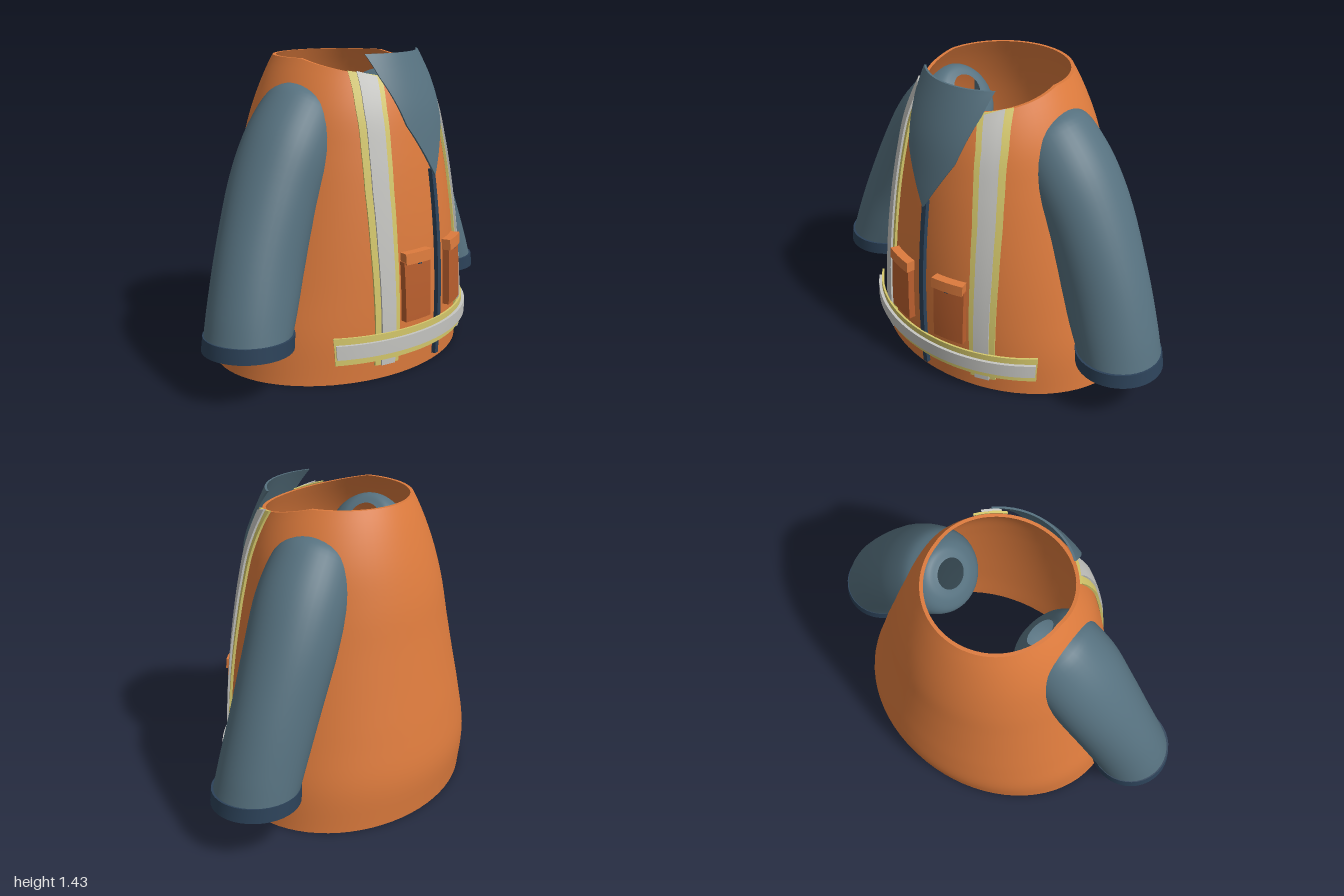
import * as THREE from 'three';
import { mergeGeometries } from 'three/addons/utils/BufferGeometryUtils.js';

const V = (x, y, z) => new THREE.Vector3(x, y, z);
const lerp = THREE.MathUtils.lerp;
const mat = (name, color) =>
  new THREE.MeshStandardMaterial({ name, color, side: THREE.DoubleSide });

// Torso cross-sections every 0.2 in height: half width, front depth, back depth
const torso = new THREE.CatmullRomCurve3([
  V(0.685, 0.525, 0.56), V(0.665, 0.535, 0.58), V(0.62, 0.535, 0.557),
  V(0.575, 0.525, 0.522), V(0.53, 0.505, 0.488), V(0.485, 0.475, 0.455),
  V(0.43, 0.43, 0.4), V(0.33, 0.35, 0.32), V(0.19, 0.25, 0.2),
], false, 'catmullrom', 0.5);
function section(y) {
  const p = torso.getPoint(THREE.MathUtils.clamp(y / 1.6, 0, 1));
  return { w: p.x, c: (p.y - p.z) / 2, d: (p.y + p.z) / 2 };
}

// Point on the torso front at (x, y), pushed outwards by off
function onFront(x, y, off) {
  const { w, c, d } = section(y);
  const k = Math.min(Math.abs(x) / w, 0.98);
  const s = Math.sqrt(1 - k * k);
  const n = new THREE.Vector2(Math.sign(x) * k / w, s / d).normalize();
  return V(x + n.x * off, y, c + d * s + n.y * off);
}

// Closed ring surface from a rule f(angle, v)
function ringSurface(cols, rows, f) {
  const pos = [], idx = [];
  for (let j = 0; j <= rows; j++) {
    for (let i = 0; i < cols; i++) pos.push(...f((i / cols) * Math.PI * 2, j / rows).toArray());
  }
  for (let j = 0; j < rows; j++) {
    for (let i = 0; i < cols; i++) {
      const a = j * cols + i, b = j * cols + ((i + 1) % cols);
      idx.push(a, a + cols, b, b, a + cols, b + cols);
    }
  }
  const g = new THREE.BufferGeometry();
  g.setAttribute('position', new THREE.Float32BufferAttribute(pos, 3));
  g.setIndex(idx);
  g.computeVertexNormals();
  return g;
}

// Plate wrapped on the torso front; outline(u, v) gives [x, y]
function plate(outline, near, far, nx, ny) {
  const g = new THREE.BoxGeometry(1, 1, 1, nx, ny, 1);
  const p = g.attributes.position;
  for (let i = 0; i < p.count; i++) {
    const [x, y] = outline(p.getX(i) + 0.5, p.getY(i) + 0.5);
    const q = onFront(x, y, lerp(near, far, p.getZ(i) + 0.5));
    p.setXYZ(i, q.x, q.y, q.z);
  }
  g.computeVertexNormals();
  return g;
}
const rect = (x0, x1, y0, y1) => (u, v) => [lerp(x0, x1, u), lerp(y0, y1, v)];

// Straight-line lookup in a short list of [key, value] pairs
function lookup(list, key) {
  for (let i = 1; i < list.length; i++) {
    const [a, va] = list[i - 1], [b, vb] = list[i];
    if (key <= b || i === list.length - 1) return lerp(va, vb, (key - a) / (b - a));
  }
}

export function createModel() {
  const orange = mat('vest orange', 0xdd7b3d);
  const rust = mat('pocket rust', 0xba5f2e);
  const slate = mat('slate blue', 0x56717f);
  const navy = mat('cuff navy', 0x2c4259);
  const yellow = mat('trim yellow', 0xd6c96c);
  const silver = mat('reflective grey', 0xc6c6c2);

  const root = new THREE.Group();
  root.name = 'safetyJacket';
  const add = (parent, name, geometry, material) => {
    const m = new THREE.Mesh(geometry, material);
    m.name = name;
    parent.add(m);
    return m;
  };

  // Vest body: outer wall, lining and the two rims; the neckline dips at the front
  const wall = (a, v, inset) => {
    const y = v * (1.405 - 0.08 * Math.max(0, Math.sin(a)));
    const { w, c, d } = section(y);
    return V((w - inset) * Math.cos(a), y, c + (d - inset) * Math.sin(a));
  };
  const T = 0.016;
  add(root, 'vestBody', mergeGeometries([
    ringSurface(72, 32, (a, v) => wall(a, v, 0)),
    ringSurface(72, 32, (a, v) => wall(a, 1 - v, T)),
    ringSurface(72, 1, (a, v) => wall(a, 1, T * v)),
    ringSurface(72, 1, (a, v) => wall(a, 0, T * (1 - v))),
  ]), orange);

  // Sleeve stations: centre, then radius across, radius in z and tilt in degrees
  const stations = [
    [0.24, 1.22, 0, 0.072, 0.072, 50], [0.245, 1.21, 0, 0.125, 0.12, 50],
    [0.265, 1.175, 0.005, 0.172, 0.17, 48], [0.32, 1.13, 0.01, 0.197, 0.2, 45],
    [0.44, 1.0, 0.015, 0.2, 0.212, 38], [0.55, 0.82, 0.02, 0.2, 0.206, 28],
    [0.66, 0.58, 0.04, 0.205, 0.195, 20], [0.745, 0.38, 0.062, 0.2, 0.193, 9],
    [0.797, 0.255, 0.075, 0.19, 0.193, 0],
  ];
  const spline = (k) => new THREE.CatmullRomCurve3(
    stations.map((s) => V(s[k], s[k + 1], s[k + 2])), false, 'catmullrom', 0.5);
  const centre = spline(0), size = spline(3);
  const sleeveGeo = ringSurface(40, 40, (a, v) => {
    const c = centre.getPoint(v), s = size.getPoint(v);
    const t = THREE.MathUtils.degToRad(s.z), r = s.x * Math.cos(a);
    return V(c.x + r * Math.cos(t), c.y + r * Math.sin(t), c.z + s.y * Math.sin(a));
  });

  // Cuff: hollow band, each wall a separate ring to keep the edges sharp
  const cuffLoop = [[0.2, 0.205], [0.198, 0.27], [0.172, 0.27], [0.172, 0.205], [0.2, 0.205]];
  const cuffGeo = mergeGeometries([0, 1, 2, 3].map((k) => ringSurface(40, 1, (a, v) => {
    const r = lerp(cuffLoop[k][0], cuffLoop[k + 1][0], v);
    const y = lerp(cuffLoop[k][1], cuffLoop[k + 1][1], v);
    return V(0.8 - (y - 0.205) * 0.12 + r * Math.cos(a), y, 0.077 + r * 1.01 * Math.sin(a));
  })));

  // Vertical straps lean towards the neck
  const strapX = [[0.07, 0.312], [0.6, 0.303], [0.85, 0.292], [1.0, 0.279], [1.2, 0.258], [1.36, 0.222]];
  const strap = (half) => (u, v) => {
    const y = lerp(0.07, 1.335 + 0.025 * u, v);
    return [lookup(strapX, y) + (2 * u - 1) * half, y];
  };

  // Parts repeated on both sides
  for (const [side, sx] of [['left', 1], ['right', -1]]) {
    const g = new THREE.Group();
    g.name = side + 'Side';
    g.scale.x = sx;
    root.add(g);
    add(g, side + 'Sleeve', sleeveGeo, slate);
    add(g, side + 'Cuff', cuffGeo, navy);
    add(g, side + 'StrapTrim', plate(strap(0.056), 0.002, 0.014, 6, 36), yellow);
    add(g, side + 'StrapReflector', plate(strap(0.032), 0.012, 0.024, 4, 36), silver);
    add(g, side + 'Pocket', plate(rect(0.082, 0.232, 0.25, 0.525), -0.005, 0.032, 6, 6), rust);
    add(g, side + 'PocketFlap', plate(rect(0.077, 0.228, 0.515, 0.565), -0.005, 0.042, 6, 2), orange);
    add(g, side + 'PocketSnap', plate(rect(0.142, 0.16, 0.507, 0.515), 0.03, 0.036, 1, 1), navy);
  }

  // Belt standing slightly off the body
  add(root, 'beltTrim', plate(rect(-0.52, 0.52, 0.1, 0.222), 0.022, 0.032, 40, 2), yellow);
  add(root, 'beltReflector', plate(rect(-0.515, 0.515, 0.13, 0.193), 0.03, 0.046, 40, 2), silver);

  // Zip and the pointed collar above it
  add(root, 'zip', plate(rect(-0.013, 0.013, 0.035, 0.91), 0.004, 0.024, 2, 24), navy);
  const collarHalf = [[0.885, 0.002], [1.12, 0.137], [1.33, 0.19], [1.43, 0.2]];
  add(root, 'collar', plate((u, v) => {
    const y = lerp(0.885, 1.43, v);
    return [(2 * u - 1) * lookup(collarHalf, y), y];
  }, 0.022, 0.032, 16, 28), slate);

  return root;
}
